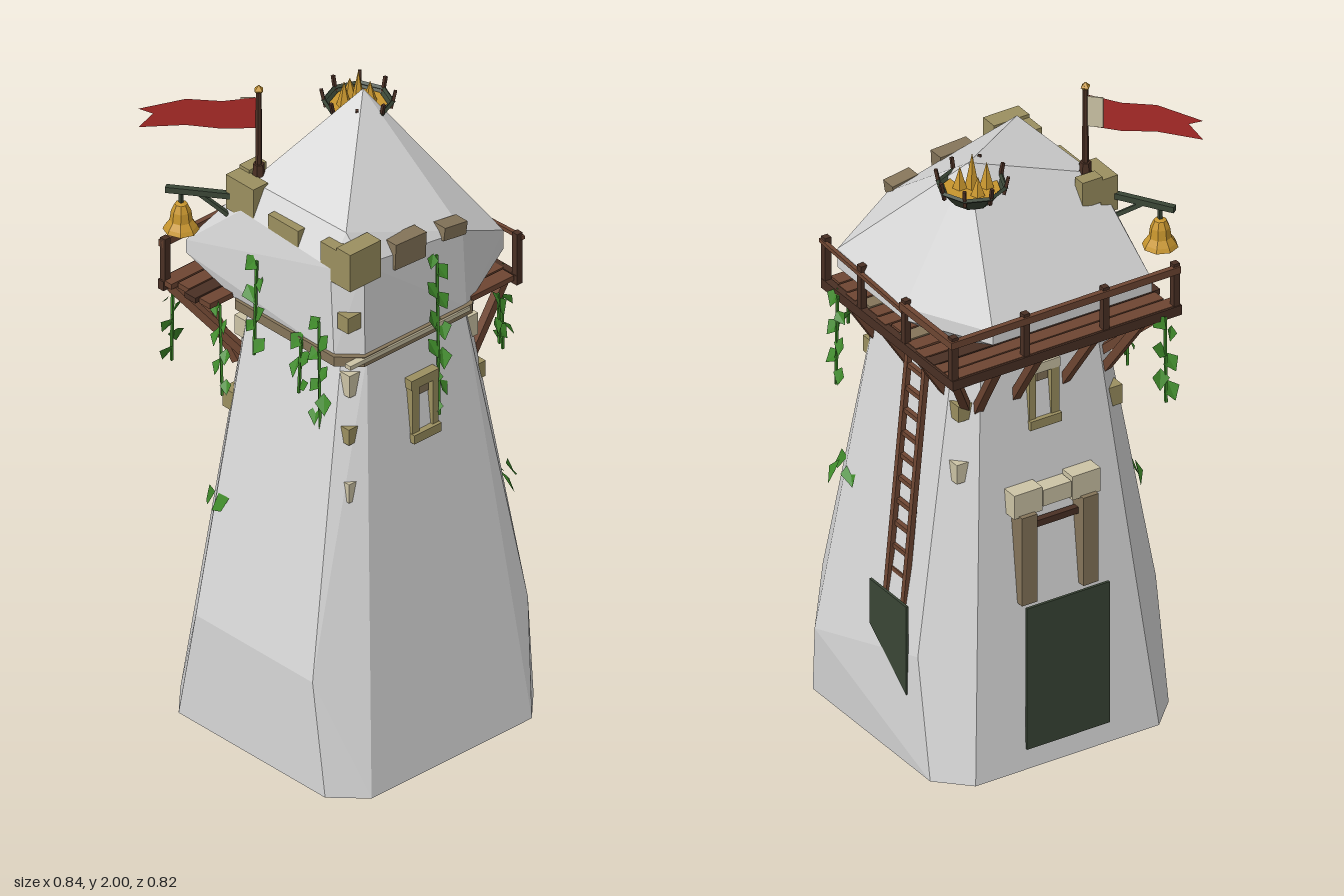
import * as THREE from 'three';
import { ConvexGeometry } from 'three/addons/geometries/ConvexGeometry.js';

export function createModel() {
  const root = new THREE.Group();
  root.name = 'watchtower';
  const mat = (name, color, double) => {
    const m = new THREE.MeshStandardMaterial({ color, flatShading: true });
    m.name = name;
    if (double) m.side = THREE.DoubleSide;
    return m;
  };
  const wall = mat('whitewash', 0xdadada), wood = mat('wood', 0x6e4632), darkWood = mat('dark wood', 0x4a3024);
  const tan = mat('tan stone', 0x9c9060), cream = mat('cream stone', 0xcdc4a6), brown = mat('brown stone', 0x85755a);
  const iron = mat('dark green', 0x3a4636, true), leaf = mat('leaf green', 0x3f8a2a, true);
  const gold = mat('gold', 0xc8962e), red = mat('red cloth', 0xab2b28, true);

  const V = (x, y, z) => new THREE.Vector3(x, y, z);
  let seed = 7;
  const rnd = () => (seed = (seed * 16807) % 2147483647) / 2147483647;
  const add = (name, geo, m, x = 0, y = 0, z = 0) => {
    const mesh = new THREE.Mesh(geo, m);
    mesh.name = name;
    mesh.position.set(x, y, z);
    root.add(mesh);
    return mesh;
  };
  const box = (name, m, x0, x1, y0, y1, z0, z1) =>
    add(name, new THREE.BoxGeometry(x1 - x0, y1 - y0, z1 - z0), m, (x0 + x1) / 2, (y0 + y1) / 2, (z0 + z1) / 2);
  const beam = (name, m, a, b, w, h = w) => {
    const mesh = add(name, new THREE.BoxGeometry(w, h, a.distanceTo(b)), m);
    mesh.position.copy(a).add(b).multiplyScalar(0.5);
    mesh.lookAt(b);
    return mesh;
  };
  const hull = (name, m, pts) => add(name, new ConvexGeometry(pts.map(p => V(...p))), m);
  // chamfered rectangle ring at one height
  const ring = (y, x, zf, zb, c) => [[x, y, zf - c], [x - c, y, zf], [c - x, y, zf], [-x, y, zf - c],
    [-x, y, zb + c], [c - x, y, zb], [x - c, y, zb], [x, y, zb + c]];

  // Tower body
  hull('towerBody', wall, [...ring(0, 0.39, 0.41, -0.36, 0.09), ...ring(1.32, 0.232, 0.265, -0.205, 0.05),
    [-0.4, 0.36, 0.28], [-0.4, 0.36, -0.19], [0.41, 0.22, 0.28], [0.33, 0.36, 0.362], [0.385, 0.36, -0.2]]);
  hull('wallBand', brown, [...ring(1.3, 0.262, 0.277, -0.24, 0.06), ...ring(1.33, 0.262, 0.277, -0.24, 0.06)]);

  // Upper storey and slumped roof
  hull('upperStorey', wall, [...ring(1.32, 0.25, 0.265, -0.24, 0.06),
    [-0.25, 1.6, 0.19], [-0.19, 1.62, 0.262], [-0.2, 1.7, 0.2], [-0.21, 1.7, -0.17], [-0.25, 1.62, -0.17],
    [0.18, 1.845, -0.14], [0.19, 1.56, 0.25], [0.38, 1.46, 0.21], [0.38, 1.4, 0.21],
    [0.39, 1.45, -0.14], [0.39, 1.41, -0.14], [0.25, 1.44, -0.37], [0.25, 1.4, -0.37],
    [-0.27, 1.44, -0.37], [-0.27, 1.4, -0.37]]);

  // Battlement stones along the front and left edges
  const stones = [[tan, -0.25, -0.135, 1.56, 1.68, 0.215, 0.27], [tan, -0.25, -0.2, 1.56, 1.67, 0.15, 0.22],
    [brown, -0.08, 0.035, 1.555, 1.635, 0.22, 0.27], [brown, 0.11, 0.195, 1.56, 1.6, 0.215, 0.262],
    [tan, -0.25, -0.2, 1.58, 1.66, -0.06, 0.06], [tan, -0.25, -0.195, 1.6, 1.71, -0.23, -0.12],
    [tan, -0.2, -0.135, 1.64, 1.72, -0.23, -0.19]];
  stones.forEach(([m, ...b], i) => { box('battlement', m, ...b).rotation.z = [0, 0, -0.05, -0.15][i] || 0; });

  // Corner stones
  for (const [m, x, y, z, h] of [[tan, -0.22, 1.44, 0.235, 0.05], [cream, -0.215, 1.24, 0.235, 0.07], [tan, -0.232, 1.09, 0.25, 0.05],
    [cream, -0.245, 0.92, 0.265, 0.06], [cream, 0.215, 1.24, 0.235, 0.07], [tan, 0.235, 1.09, 0.245, 0.05],
    [cream, 0.215, 1.23, -0.185, 0.06], [tan, 0.235, 1.1, -0.19, 0.05], [cream, 0.25, 0.92, -0.205, 0.06],
    [cream, -0.215, 1.23, -0.185, 0.06], [tan, -0.245, 1.0, -0.2, 0.06]])
    box('cornerStone', m, x - 0.025, x + 0.025, y - h / 2, y + h / 2, z - 0.022, z + 0.022);
  box('frontLedge', cream, -0.26, 0.19, 1.315, 1.328, 0.26, 0.282);

  // Small windows, front and back
  for (const [s, z] of [[1, 0.288], [-1, -0.225]]) {
    const zr = [z - 0.018, z + 0.018];
    box('windowSill', tan, -0.052, 0.05, 1, 1.028, z + s * 0.01 - 0.018, z + s * 0.01 + 0.018);
    box('windowJamb', tan, -0.05, -0.024, 1.028, 1.17, ...zr);
    box('windowJamb', tan, 0.026, 0.048, 1.028, 1.17, ...zr);
    box('windowLintel', s > 0 ? tan : cream, -0.053, 0.05, 1.17, 1.2, ...zr);
    box('windowPane', brown, -0.018, 0.018, 1.14, 1.17, z - 0.01, z + 0.01);
  }

  // Back doorway and dark doors
  box('backDoor', iron, -0.14, 0.13, 0.06, 0.51, -0.358, -0.35);
  for (const s of [-1, 1]) box('doorJamb', brown, s * 0.1 - 0.025, s * 0.1 + 0.025, 0.5, 0.78, -0.325, -0.255);
  [-0.095, 0, 0.095].forEach((x, i) =>
    box('doorLintel', cream, x - 0.046, x + 0.046, 0.775 + (i === 1 ? 0.012 : 0), 0.85 - (i === 1 ? 0.012 : 0), -0.31, -0.24));
  beam('doorBar', darkWood, V(-0.09, 0.73, -0.29), V(0.09, 0.73, -0.29), 0.02);
  const flap = new THREE.Shape([[-0.03, 0.5], [0.155, 0.5], [0.155, 0.22], [-0.03, 0.36]].map(p => new THREE.Vector2(...p)));
  add('sideDoor', new THREE.ExtrudeGeometry(flap, { depth: 0.008, bevelEnabled: false }), iron, 0.386).rotation.y = Math.PI / 2;

  // Platform planks
  for (let i = 0; i < 4; i++) {
    const z = -0.385 + i * 0.048;
    box('backPlank', i === 2 ? darkWood : wood, -0.35 + [0, 0.02, 0, 0.01][i], 0.39, 1.325, 1.342, z, z + 0.043);
  }
  for (let i = 0; i < 9; i++) {
    const z = -0.19 + i * 0.051;
    box('sidePlank', i % 4 === 1 ? brown : wood, 0.21, 0.385 - (i % 3) * 0.008, 1.325, 1.342, z, z + 0.045);
  }
  beam('platformEdge', darkWood, V(-0.355, 1.325, -0.38), V(0.395, 1.325, -0.38), 0.022, 0.03);
  beam('platformEdge', darkWood, V(0.385, 1.325, -0.39), V(0.385, 1.325, 0.27), 0.022, 0.03);

  // Railing
  for (const [x, z] of [[-0.34, -0.378], [-0.11, -0.378], [0.15, -0.378], [0.385, -0.378], [0.385, -0.14], [0.385, 0.08], [0.385, 0.26]])
    box('railPost', darkWood, x - 0.01, x + 0.01, 1.33, 1.475, z - 0.01, z + 0.01);
  beam('handrail', wood, V(-0.35, 1.455, -0.385), V(0.4, 1.455, -0.385), 0.016, 0.022);
  beam('handrail', wood, V(0.393, 1.455, -0.39), V(0.393, 1.455, -0.13), 0.016, 0.022);
  beam('handrail', wood, V(0.393, 1.44, -0.14), V(0.393, 1.46, 0.275), 0.012);

  // Diagonal braces
  const brace = (a, b) => beam('brace', wood, a, b, 0.024);
  for (const z of [0.225, 0.045, -0.13]) brace(V(0.235, 1.11, z), V(0.37, 1.32, z));
  for (const x of [-0.22, -0.08, 0.08, 0.2]) brace(V(x, 1.1, -0.215), V(x * 1.15, 1.32, -0.365));
  brace(V(0.22, 1.1, -0.19), V(0.37, 1.32, -0.365));
  brace(V(-0.22, 1.14, -0.19), V(-0.33, 1.32, -0.365));

  // Ladder
  const lx = y => 0.285 + (1.33 - y) * 0.085;
  for (const z of [-0.018, -0.105]) beam('ladderRail', wood, V(lx(1.33), 1.33, z), V(lx(0.48) + 0.01, 0.48, z), 0.016);
  for (let i = 0; i < 11; i++) {
    const y = 0.55 + i * 0.07;
    beam('ladderRung', wood, V(lx(y), y, -0.018), V(lx(y), y, -0.105), 0.014);
  }

  // Brazier with spikes and flames
  const bx = 0.185, bz = -0.165;
  add('brazierBowl', new THREE.CylinderGeometry(0.095, 0.055, 0.05, 8, 1, true), iron, bx, 1.765, bz);
  add('brazierBase', new THREE.CylinderGeometry(0.055, 0.04, 0.012, 8), iron, bx, 1.738, bz);
  add('brazierRim', new THREE.TorusGeometry(0.095, 0.007, 4, 8), iron, bx, 1.79, bz).rotation.x = Math.PI / 2;
  add('embers', new THREE.CylinderGeometry(0.08, 0.07, 0.01, 8), gold, bx, 1.778, bz);
  for (let i = 0; i < 8; i++) {
    const a = i * Math.PI / 4, c = Math.cos(a), s = Math.sin(a);
    beam('brazierSpike', darkWood, V(bx + c * 0.09, 1.77, bz + s * 0.09), V(bx + c * 0.102, 1.825, bz + s * 0.102), 0.009);
  }
  for (const [x, z, h] of [[0, 0, 0.11], [-0.035, -0.02, 0.08], [0.03, 0.015, 0.07], [0.01, -0.045, 0.06]])
    add('flame', new THREE.ConeGeometry(0.022, h, 5), gold, bx + x, 1.78 + h / 2, bz + z);

  // Flagpole and swallow-tailed flag
  const px = -0.183, pz = -0.17;
  add('flagpole', new THREE.CylinderGeometry(0.008, 0.01, 0.32, 6), darkWood, px, 1.83, pz);
  add('poleFoot', new THREE.CylinderGeometry(0.016, 0.018, 0.05, 6), darkWood, px, 1.72, pz);
  add('finial', new THREE.OctahedronGeometry(0.016), gold, px, 1.984, pz);
  const flagShape = new THREE.Shape([[0, 1.96], [0.1, 1.945], [0.2, 1.95], [0.33, 1.915], [0.29, 1.9], [0.33, 1.855], [0.2, 1.865],
    [0.1, 1.855], [0, 1.86]].map(p => new THREE.Vector2(...p)));
  add('flag', new THREE.ShapeGeometry(flagShape), red, px, 0, pz).rotation.y = Math.PI * 0.75;
  const band = add('flagBand', new THREE.BoxGeometry(0.05, 0.095, 0.004), cream, px - 0.018 + 0.002, 1.909, pz - 0.018 - 0.002);
  band.rotation.y = Math.PI * 0.75;

  // Bell on its bracket
  const gx = -0.32, gz = -0.335;
  beam('bellArm', iron, V(-0.23, 1.645, -0.2), V(-0.345, 1.64, -0.37), 0.018);
  beam('bellStrut', iron, V(-0.23, 1.56, -0.2), V(-0.29, 1.635, -0.29), 0.012);
  const bell = [[0.051, 0], [0.045, 0.012], [0.032, 0.03], [0.028, 0.06], [0.018, 0.082], [0, 0.088]].map(p => new THREE.Vector2(...p));
  add('bell', new THREE.LatheGeometry(bell, 8), gold, gx, 1.515, gz);
  add('bellMouth', new THREE.CylinderGeometry(0.044, 0.05, 0.006, 8), darkWood, gx, 1.518, gz);
  add('clapper', new THREE.IcosahedronGeometry(0.012), gold, gx, 1.508, gz);
  beam('bellHook', iron, V(gx, 1.595, gz), V(gx, 1.64, gz), 0.01);

  // Ivy: folded diamond leaves hanging along a stem
  const leafGeo = new THREE.BufferGeometry();
  leafGeo.setAttribute('position', new THREE.Float32BufferAttribute(
    [0, 0.5, 0, -0.4, 0.1, 0.12, 0, -0.5, 0, 0, 0.5, 0, 0, -0.5, 0, 0.4, 0.1, 0.12], 3));
  leafGeo.computeVertexNormals();
  const addLeaf = (x, y, z, size, turn) => {
    const l = add('leaf', leafGeo, leaf, x, y, z);
    l.scale.setScalar(size);
    l.rotation.set(-0.3 - rnd() * 0.3, turn + (rnd() - 0.5), (rnd() - 0.5) * 1.6, 'YXZ');
  };
  const vine = (a, b, n, turn) => {
    beam('vineStem', leaf, a, b, 0.007);
    for (let i = 0; i < n; i++) {
      const p = a.clone().lerp(b, (i + 0.3) / n), o = (i % 2 ? 1 : -1) * 0.018;
      addLeaf(p.x + Math.cos(turn) * o, p.y, p.z - Math.sin(turn) * o, 0.045 + rnd() * 0.02, turn);
    }
  };
  vine(V(0.065, 1.55, 0.28), V(0.06, 1.04, 0.295), 11, 0);
  vine(V(-0.265, 1.42, 0.16), V(-0.27, 1.08, 0.17), 7, -1.57);
  vine(V(-0.265, 1.33, 0.09), V(-0.275, 1.16, 0.09), 4, -1.57);
  vine(V(-0.265, 1.5, -0.09), V(-0.275, 1.2, -0.09), 6, -1.57);
  vine(V(-0.31, 1.33, -0.19), V(-0.32, 1.05, -0.17), 6, -1.57);
  vine(V(-0.3, 1.32, -0.39), V(-0.3, 1.05, -0.395), 6, 3.14);
  vine(V(0.4, 1.33, 0.18), V(0.405, 1.05, 0.18), 6, 1.57);
  vine(V(0.3, 1.32, 0.275), V(0.3, 1.16, 0.28), 4, 0.5);
  for (const [x, z, t] of [[0.33, 0.22, 1.3], [0.31, 0.3, 0.7], [0.36, 0.26, 1], [-0.345, -0.15, -1.4], [-0.335, -0.2, -1.8]])
    addLeaf(x, 0.715, z, 0.075, t);
  return root;
}
